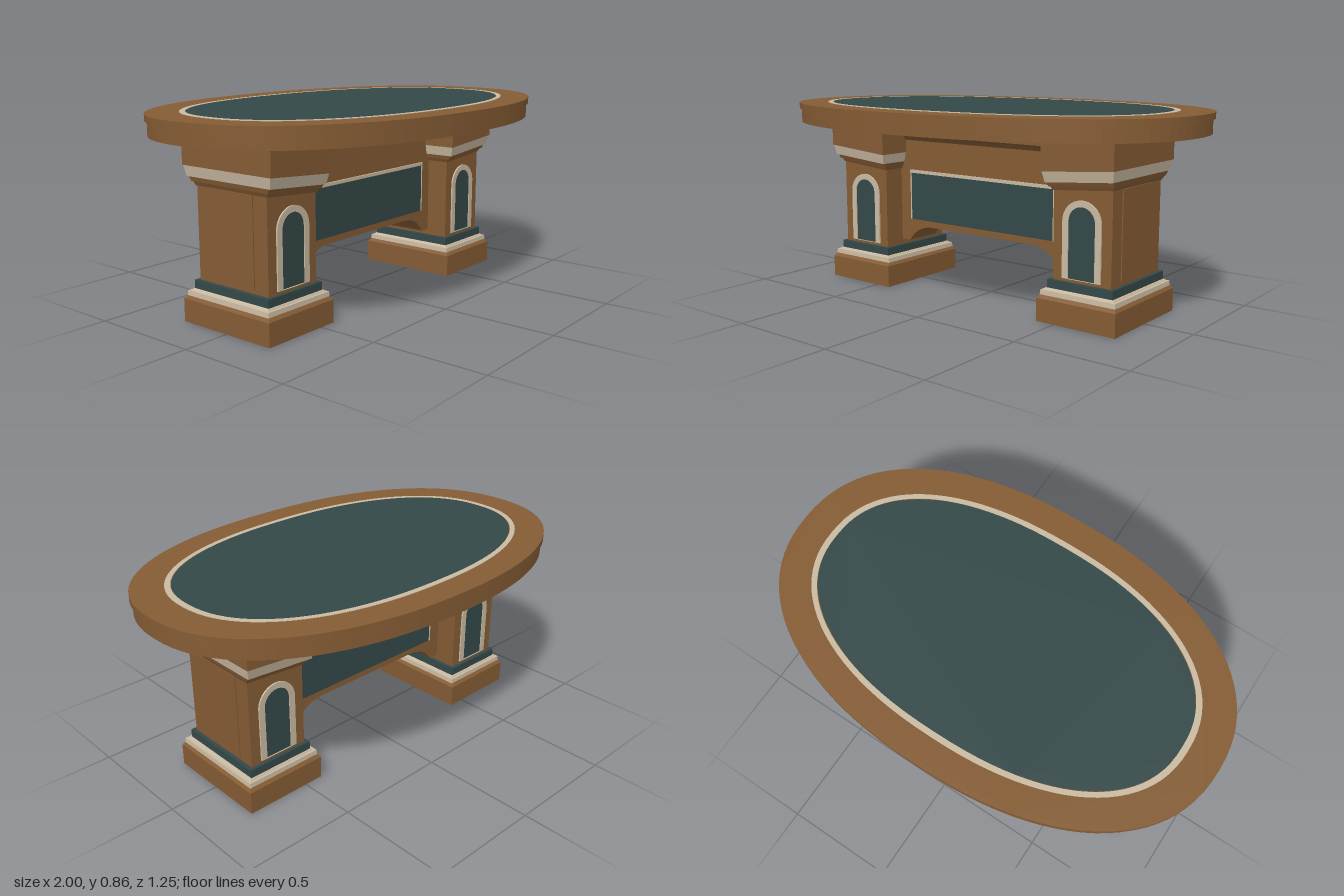
import * as THREE from 'three';

const wood = new THREE.MeshStandardMaterial({ color: 0x855c34 });
wood.name = 'brown wood';
const teal = new THREE.MeshStandardMaterial({ color: 0x344848 });
teal.name = 'dark teal';
const cream = new THREE.MeshStandardMaterial({ color: 0xcabaa2 });
cream.name = 'cream trim';

function add(parent, name, geometry, material, x = 0, y = 0, z = 0) {
  const mesh = new THREE.Mesh(geometry, material);
  mesh.name = name;
  mesh.position.set(x, y, z);
  parent.add(mesh);
  return mesh;
}

// Four-sided block tapering from half sizes [x, z] at y0 to those at y1.
// tiltLow and tiltHigh slope its lower and upper faces along x.
function block(y0, y1, low, high = low, tiltLow = 0, tiltHigh = tiltLow) {
  const geo = new THREE.BoxGeometry(2, 2, 2);
  const p = geo.attributes.position;
  for (let i = 0; i < p.count; i++) {
    const top = p.getY(i) > 0;
    const half = top ? high : low;
    const x = p.getX(i) * half[0];
    p.setXYZ(i, x, (top ? y1 : y0) + x * (top ? tiltHigh : tiltLow), p.getZ(i) * half[1]);
  }
  geo.computeVertexNormals();
  return geo;
}

// Rounded oval outline, slightly fuller than an ellipse.
function ovalPoints(a, b, power = 2.25, count = 96) {
  const pts = [];
  for (let i = 0; i < count; i++) {
    const t = (i / count) * Math.PI * 2;
    const c = Math.cos(t), s = Math.sin(t);
    pts.push(new THREE.Vector2(
      Math.sign(c) * a * Math.abs(c) ** (2 / power),
      Math.sign(s) * b * Math.abs(s) ** (2 / power)));
  }
  return pts;
}

// Horizontal oval slab between two heights, optionally a ring.
function ovalSlab(a, b, y0, y1, hole) {
  const shape = new THREE.Shape(ovalPoints(a, b));
  if (hole) shape.holes.push(new THREE.Path(ovalPoints(hole[0], hole[1], 2.3)));
  const geo = new THREE.ExtrudeGeometry(shape, { depth: y1 - y0, bevelEnabled: false });
  return geo.rotateX(-Math.PI / 2).translate(0, y0, 0);
}

// Arch outline with a half-round head.
function archPath(path, half, y0, top) {
  path.moveTo(-half, y0);
  path.lineTo(half, y0);
  path.lineTo(half, top - half);
  path.absarc(0, top - half, half, 0, Math.PI, false);
  path.lineTo(-half, y0);
  return path;
}

function plate(shape, depth) {
  return new THREE.ExtrudeGeometry(shape, { depth, bevelEnabled: false, curveSegments: 16 });
}

function tabletop() {
  const g = new THREE.Group();
  g.name = 'tabletop';
  add(g, 'lowerEdge', ovalSlab(0.99, 0.617, 0.765, 0.826), wood);
  add(g, 'rim', ovalSlab(1, 0.625, 0.826, 0.853), wood);
  add(g, 'inlayBorder', ovalSlab(0.863, 0.505, 0.85, 0.855, [0.836, 0.48]), cream);
  add(g, 'writingSurface', ovalSlab(0.837, 0.481, 0.85, 0.8548), teal);
  return g;
}

function pedestal(side) {
  const g = new THREE.Group();
  g.name = side > 0 ? 'leftPedestal' : 'rightPedestal';
  const tilt = 0.08 * side;

  // Stepped foot
  add(g, 'plinth', block(0, 0.098, [0.185, 0.24]), wood);
  add(g, 'plinthChamfer', block(0.098, 0.112, [0.185, 0.24], [0.174, 0.228]), wood);
  add(g, 'lowerTrim', block(0.112, 0.132, [0.176, 0.228], [0.174, 0.226]), cream);
  add(g, 'upperTrim', block(0.132, 0.14, [0.164, 0.217], [0.158, 0.212]), cream);
  add(g, 'footBand', block(0.135, 0.175, [0.153, 0.208]), teal);

  // Shaft with a plain panel on its outer side
  add(g, 'shaft', block(0.175, 0.65, [0.136, 0.192]), wood);
  add(g, 'sidePanel', block(0.19, 0.562, [0.004, 0.12]), wood, side * 0.137);

  // Sloping crown mouldings and capital
  add(g, 'neckMoulding', block(0.552, 0.568, [0.139, 0.196], [0.147, 0.204], tilt), wood);
  add(g, 'crownMoulding', block(0.568, 0.587, [0.149, 0.212], [0.154, 0.22], tilt), wood);
  add(g, 'crownTrim', block(0.587, 0.631, [0.156, 0.23], [0.164, 0.24], tilt), cream);
  add(g, 'capital', block(0.631, 0.768, [0.166, 0.243], [0.166, 0.245], tilt, 0), wood);

  // Arched niche on front and back
  const frame = archPath(new THREE.Shape(), 0.09, 0.188, 0.512);
  frame.holes.push(archPath(new THREE.Path(), 0.062, 0.1885, 0.486));
  for (const face of [1, -1]) {
    const niche = new THREE.Group();
    niche.name = face > 0 ? 'frontNiche' : 'backNiche';
    niche.position.z = face * 0.19;
    if (face < 0) niche.rotation.y = Math.PI;
    add(niche, 'archFrame', plate(frame, 0.009), cream);
    add(niche, 'archPanel', plate(archPath(new THREE.Shape(), 0.063, 0.19, 0.487), 0.005), teal);
    g.add(niche);
  }
  g.position.set(side * 0.605 - 0.005, 0, -0.004);
  return g;
}

function beam() {
  const g = new THREE.Group();
  g.name = 'centreBeam';
  g.position.set(-0.005, 0, -0.004);

  // Apron with a curved cut-out underneath
  const s = new THREE.Shape();
  s.moveTo(-0.5, 0.2);
  s.lineTo(-0.42, 0.2);
  s.bezierCurveTo(-0.39, 0.245, -0.345, 0.273, -0.28, 0.275);
  s.lineTo(0.28, 0.275);
  s.bezierCurveTo(0.345, 0.273, 0.39, 0.245, 0.42, 0.2);
  s.lineTo(0.5, 0.2);
  s.lineTo(0.5, 0.767);
  s.lineTo(-0.5, 0.767);
  add(g, 'apron', plate(s, 0.18), wood, 0, 0, -0.09);

  // Coved moulding under the tabletop
  const m = new THREE.Shape();
  m.moveTo(-0.08, 0.66);
  m.lineTo(0.08, 0.66);
  m.quadraticCurveTo(0.1, 0.7, 0.14, 0.705);
  m.lineTo(0.14, 0.767);
  m.lineTo(-0.14, 0.767);
  m.lineTo(-0.14, 0.705);
  m.quadraticCurveTo(-0.1, 0.7, -0.08, 0.66);
  add(g, 'topMoulding', plate(m, 0.92).rotateY(Math.PI / 2), wood, -0.46);

  // Inset panel and trim on front and back
  for (const face of [1, -1]) {
    const z = face * 0.09;
    add(g, 'beamPanel', new THREE.BoxGeometry(0.8, 0.22, 0.009), teal, 0, 0.415, z);
    add(g, 'beamPanelTopTrim', new THREE.BoxGeometry(0.812, 0.014, 0.016), cream, 0, 0.532, z);
    for (const side of [1, -1]) {
      add(g, 'beamPanelSideTrim', new THREE.BoxGeometry(0.006, 0.22, 0.013), cream, side * 0.403, 0.415, z);
    }
  }
  return g;
}

export function createModel() {
  const model = new THREE.Group();
  model.name = 'ovalDesk';
  model.add(tabletop(), beam(), pedestal(1), pedestal(-1));
  return model;
}
